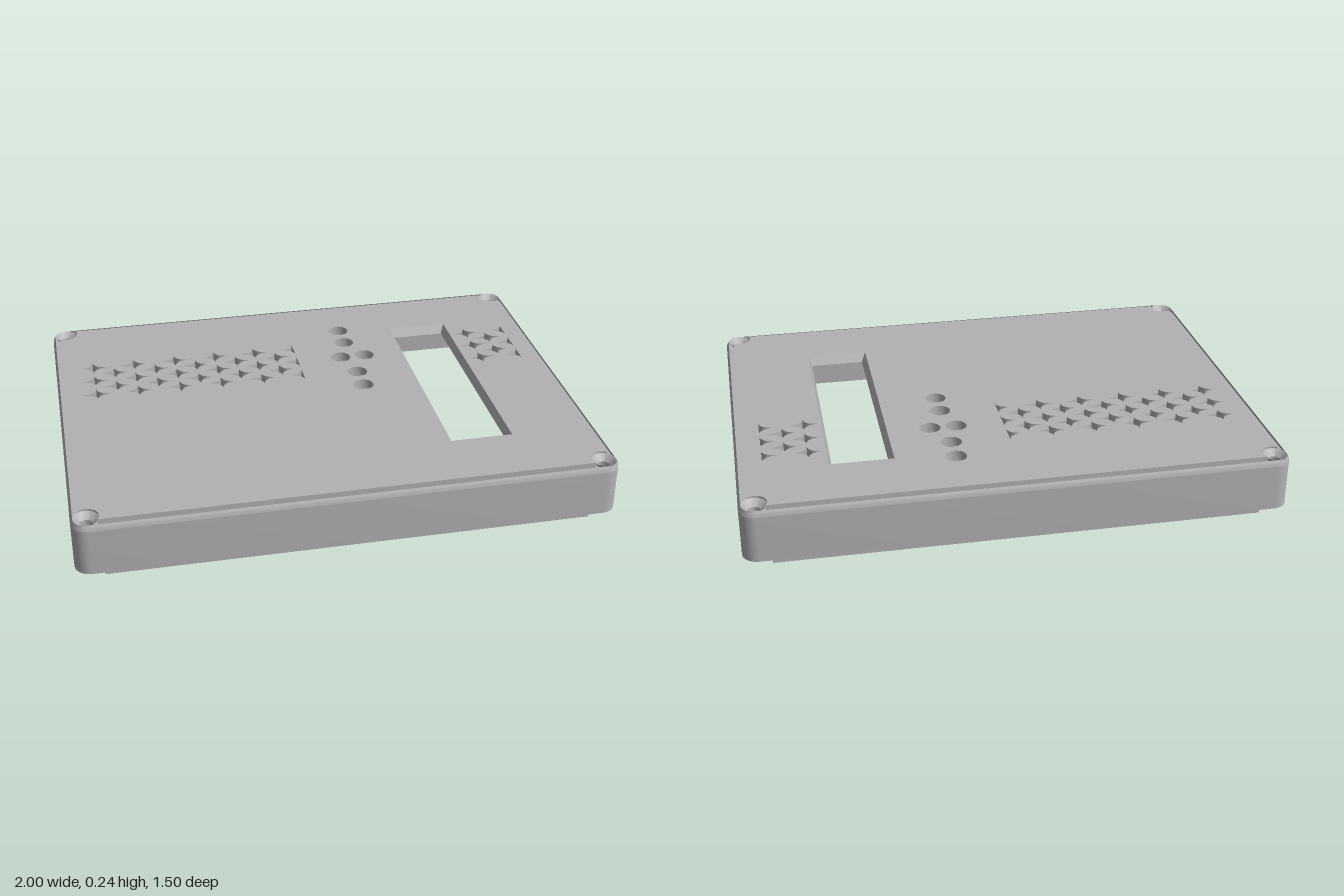
import * as THREE from 'three';
import { toCreasedNormals } from 'three/addons/utils/BufferGeometryUtils.js';

const W = 1, D = 0.75, TOP = 0.236, CEIL = 0.2, RIM = 0.03, EDGE = 0.03;
const SX = 0.945, SZ = 0.695; // corner screw centres

const grey = new THREE.MeshStandardMaterial({ color: 0xb2b2b2, side: THREE.DoubleSide });
grey.name = 'grey plastic';

// Plan outlines are drawn in (x, -z) and extruded upward.
const V = (x, y) => new THREE.Vector2(x, y);

function circle(x, z, r) {
  return new THREE.Path().absarc(x, -z, r, 0, Math.PI * 2, true);
}

function roundedRect(inset) {
  const pts = [];
  const r = 0.06 - inset;
  [[1, 1], [-1, 1], [-1, -1], [1, -1]].forEach(([sx, sy], q) => {
    for (let i = 0; i <= 10; i++) {
      const a = (q + i / 10) * Math.PI / 2;
      pts.push(V(sx * (W - 0.06) + r * Math.cos(a), sy * (D - 0.06) + r * Math.sin(a)));
    }
  });
  return pts;
}

// Rectangle whose corners are bitten out by circles round the screws.
function notchedRect(w, d, r) {
  const a0 = -Math.acos((w - SX) / r), a1 = -Math.PI - Math.asin((d - SZ) / r);
  const corner = [];
  for (let i = 0; i <= 12; i++) {
    const a = a0 + (a1 - a0) * i / 12;
    corner.push(V(SX + r * Math.cos(a), SZ + r * Math.sin(a)));
  }
  const back = corner.slice().reverse();
  return [
    ...corner,
    ...back.map(p => V(-p.x, p.y)),
    ...corner.map(p => V(-p.x, -p.y)),
    ...back.map(p => V(p.x, -p.y)),
  ];
}

function rectPoints(x0, x1, z0, z1) {
  return [V(x0, -z1), V(x1, -z1), V(x1, -z0), V(x0, -z0)];
}

// Four-pointed vent star; half = left part only.
function star(x, z, half) {
  const a = 0.056, b = 0.042, c = 0.005;
  const p = new THREE.Path();
  p.moveTo(x, -z + b);
  p.quadraticCurveTo(x - c, -z + c, x - a, -z);
  p.quadraticCurveTo(x - c, -z - c, x, -z - b);
  if (!half) {
    p.quadraticCurveTo(x + c, -z - c, x + a, -z);
    p.quadraticCurveTo(x + c, -z + c, x, -z + b);
  }
  p.closePath();
  return p;
}

function slab(points, holes, y0, y1) {
  const shape = points instanceof THREE.Shape ? points : new THREE.Shape(points);
  shape.holes.push(...holes);
  const g = new THREE.ExtrudeGeometry(shape, { depth: y1 - y0, bevelEnabled: false, curveSegments: 10 });
  g.rotateX(-Math.PI / 2).translate(0, y0, 0);
  return toCreasedNormals(g, 0.7);
}

// Surface through closed rings of equal length.
function loft(rings, crease) {
  const n = rings[0].length, pos = [], idx = [];
  rings.forEach(r => r.forEach(p => pos.push(p.x, p.y, p.z)));
  for (let j = 0; j < rings.length - 1; j++) {
    for (let i = 0; i < n; i++) {
      const a = j * n + i, b = j * n + (i + 1) % n;
      idx.push(a, b, b + n, a, b + n, a + n);
    }
  }
  const g = new THREE.BufferGeometry();
  g.setAttribute('position', new THREE.Float32BufferAttribute(pos, 3));
  g.setIndex(idx);
  return toCreasedNormals(g, crease);
}

export function createModel() {
  const model = new THREE.Group();
  const add = (name, geometry, x = 0, y = 0, z = 0) => {
    const m = new THREE.Mesh(geometry, grey);
    m.name = name;
    m.position.set(x, y, z);
    model.add(m);
    return m;
  };
  const box = (name, x0, x1, y0, y1, z0, z1) =>
    add(name, new THREE.BoxGeometry(x1 - x0, y1 - y0, z1 - z0), (x0 + x1) / 2, (y0 + y1) / 2, (z0 + z1) / 2);

  const screws = [[SX, SZ], [-SX, SZ], [SX, -SZ], [-SX, -SZ]];
  const buttons = [[0.205, -0.5], [0.205, -0.39], [0.165, -0.265], [0.265, -0.265], [0.205, -0.13], [0.205, -0.02]];
  const inner = () => new THREE.Path(notchedRect(0.94, 0.69, 0.08));

  // Side walls with corner screw bosses, and the locating lip below
  add('sideWalls', slab(roundedRect(0), [inner(), ...screws.map(([x, z]) => circle(x, z, 0.023))], RIM, TOP - EDGE));
  add('lip', slab(notchedRect(0.97, 0.72, 0.055), [inner()], 0, RIM));

  // Rounded top edge, cut back where the countersinks meet it
  const rings = [];
  for (let k = 0; k <= 8; k++) {
    const a = k / 8 * Math.PI / 2;
    const inset = EDGE * (1 - Math.cos(a)), y = TOP - EDGE + EDGE * Math.sin(a);
    rings.push(roundedRect(inset).map(p => {
      const cx = Math.sign(p.x) * SX, cy = Math.sign(p.y) * SZ;
      const d = Math.hypot(p.x - cx, p.y - cy), f = d < 0.046 ? 0.046 / d : 1;
      return new THREE.Vector3(cx + (p.x - cx) * f, f > 1 ? Math.min(y, 0.229) : y, -(cy + (p.y - cy) * f));
    }));
  }
  add('roundedEdge', loft(rings, 0.7));

  // Vent stars in staggered rows
  const stars = [];
  for (let row = 0; row < 5; row++) {
    const z = -0.37 + row * 0.055, odd = row % 2;
    for (let i = 0; i < 5; i++) stars.push(star(-0.85 + (i + odd / 2) * 0.167, z, false));
    stars.push(star(odd ? 0.817 : 0.735, z, false));
    if (!odd) stars.push(star(-0.015, z, true), star(0.902, z, true));
  }

  // Top plate
  add('topPlate', slab(notchedRect(W - EDGE, D - EDGE, 0.046), [
    new THREE.Path(rectPoints(0.428, 0.667, -0.475, 0.467)),
    ...buttons.map(([x, z]) => circle(x, z, 0.04)),
    ...stars,
  ], CEIL, TOP));

  // Sloping surround of the display window
  const ring = (pts, y) => pts.map(p => new THREE.Vector3(p.x, y, -p.y));
  const outer = rectPoints(0.428, 0.667, -0.475, 0.467), opening = rectPoints(0.445, 0.653, -0.456, 0.448);
  add('windowBevel', loft([ring(outer, CEIL), ring(opening, CEIL), ring(outer, TOP)], 0.1));

  // Countersunk screw holes
  screws.forEach(([x, z]) => add('countersink', toCreasedNormals(new THREE.LatheGeometry(
    [V(0.023, RIM), V(0.023, 0.205), V(0.046, 0.229)], 24), 0.5), x, 0, z));

  // Hollow mounting posts under the plate
  const post = (name, x, z, y) => {
    const s = new THREE.Shape().absarc(0, 0, 0.045, 0, Math.PI * 2, false);
    add(name, slab(s, [circle(0, 0, 0.021)], y, CEIL + 0.005), x, 0, z);
  };
  for (const x of [0.375, 0.81]) for (const z of [0.52, -0.57]) post('displayPost', x, z, 0.11);
  for (const z of [0, 0.51]) post('batteryPost', -0.54, z, 0.07);

  // Square guides round the buttons
  buttons.forEach(([x, z]) => add('buttonGuide', slab(rectPoints(-0.055, 0.055, -0.055, 0.055),
    [new THREE.Path(rectPoints(-0.045, 0.045, -0.045, 0.045))], 0.14, CEIL + 0.003), x, 0, z));

  // Battery bay, mostly open on its right side
  const b0 = 0.07, b1 = CEIL + 0.003;
  box('batteryWall', -0.77, -0.27, b0, b1, 0.04, 0.06);
  box('batteryWall', -0.77, -0.27, b0, b1, 0.44, 0.46);
  box('batteryWall', -0.29, -0.27, b0, b1, 0.06, 0.44);
  box('batteryStop', -0.77, -0.75, b0, b1, 0.06, 0.1);
  box('batteryStop', -0.77, -0.75, b0, b1, 0.4, 0.44);
  return model;
}
